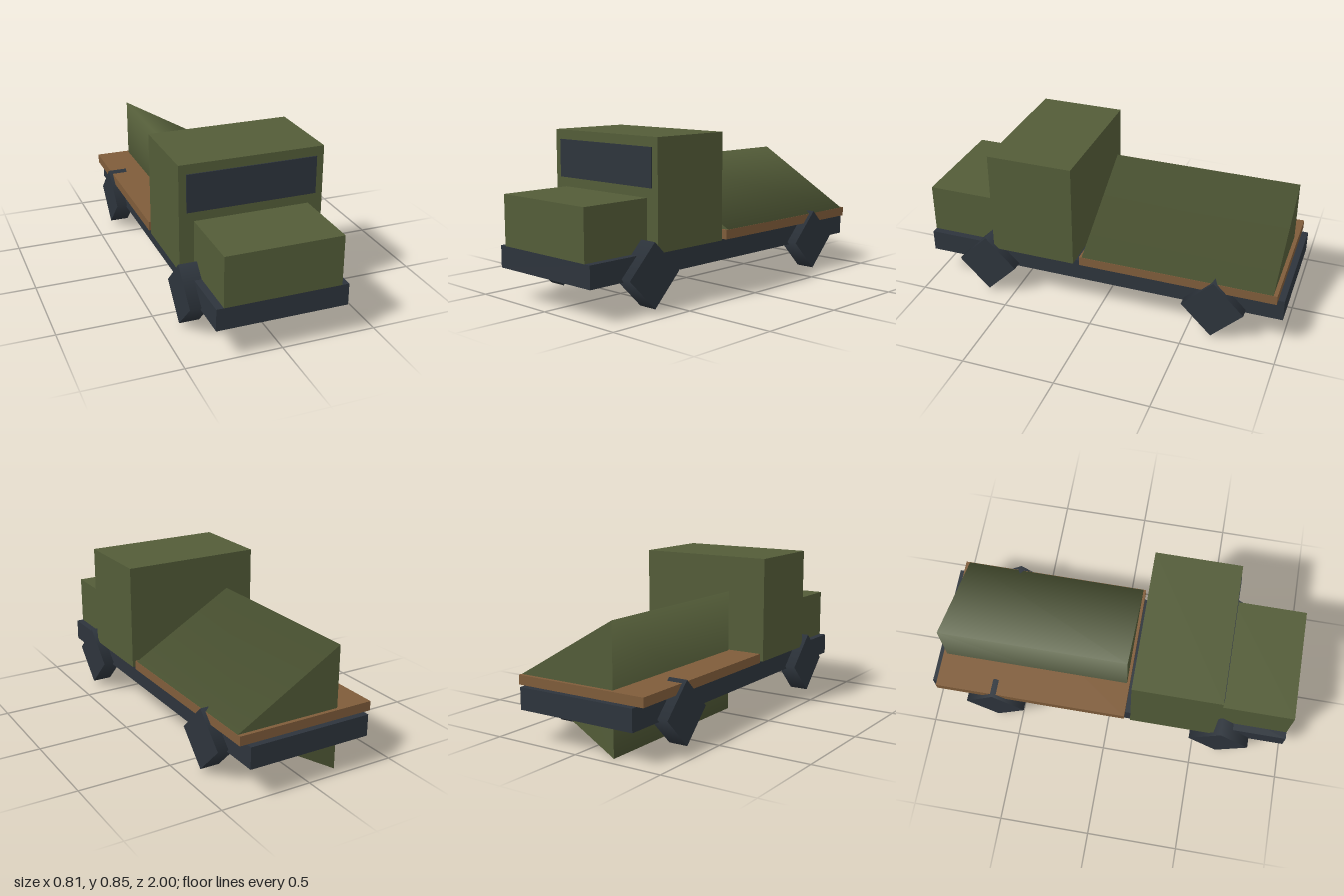
import * as THREE from 'three';

const olive = new THREE.MeshStandardMaterial({ color: 0x535c38 });
olive.name = 'olive';
const slate = new THREE.MeshStandardMaterial({ color: 0x2d343c });
slate.name = 'slate';
const wood = new THREE.MeshStandardMaterial({ color: 0x7f5c3a });
wood.name = 'wood';

// Box given by its full width and its y and z ranges, centred on x
function box(name, width, [y0, y1], [z0, z1], material) {
  const mesh = new THREE.Mesh(new THREE.BoxGeometry(width, y1 - y0, z1 - z0), material);
  mesh.position.set(0, (y0 + y1) / 2, (z0 + z1) / 2);
  mesh.name = name;
  return mesh;
}

export function createModel() {
  const truck = new THREE.Group();
  truck.name = 'truck';

  // Body
  truck.add(
    box('chassis', 0.69, [0.168, 0.284], [-1, 1], slate),
    box('hood', 0.614, [0.284, 0.55], [0.6, 1], olive),
    box('cab', 0.768, [0.284, 0.85], [0.135, 0.6], olive),
    box('windshield', 0.69, [0.6, 0.8], [0.598, 0.606], slate),
    box('cargoBed', 0.768, [0.284, 0.334], [-0.966, 0.1], wood)
  );

  // Three-sided cargo cover lying along z, one edge towards +x
  const coverGeometry = new THREE.CylinderGeometry(0.384, 0.384, 1.03, 3, 1, false, Math.PI / 2);
  coverGeometry.rotateX(Math.PI / 2);
  const cover = new THREE.Mesh(coverGeometry, olive);
  cover.name = 'cargoCover';
  cover.position.set(0, 0.333, -0.43);
  truck.add(cover);

  // Four-sided wheels standing on a corner
  const wheelGeometry = new THREE.CylinderGeometry(0.166, 0.166, 0.106, 4);
  wheelGeometry.rotateZ(Math.PI / 2);
  for (const [end, z] of [['front', 0.64], ['rear', -0.64]]) {
    for (const [side, x] of [['Left', 0.351], ['Right', -0.351]]) {
      const wheel = new THREE.Mesh(wheelGeometry, slate);
      wheel.name = `${end}${side}Wheel`;
      wheel.position.set(x, 0.184, z);
      truck.add(wheel);
    }
  }
  return truck;
}
